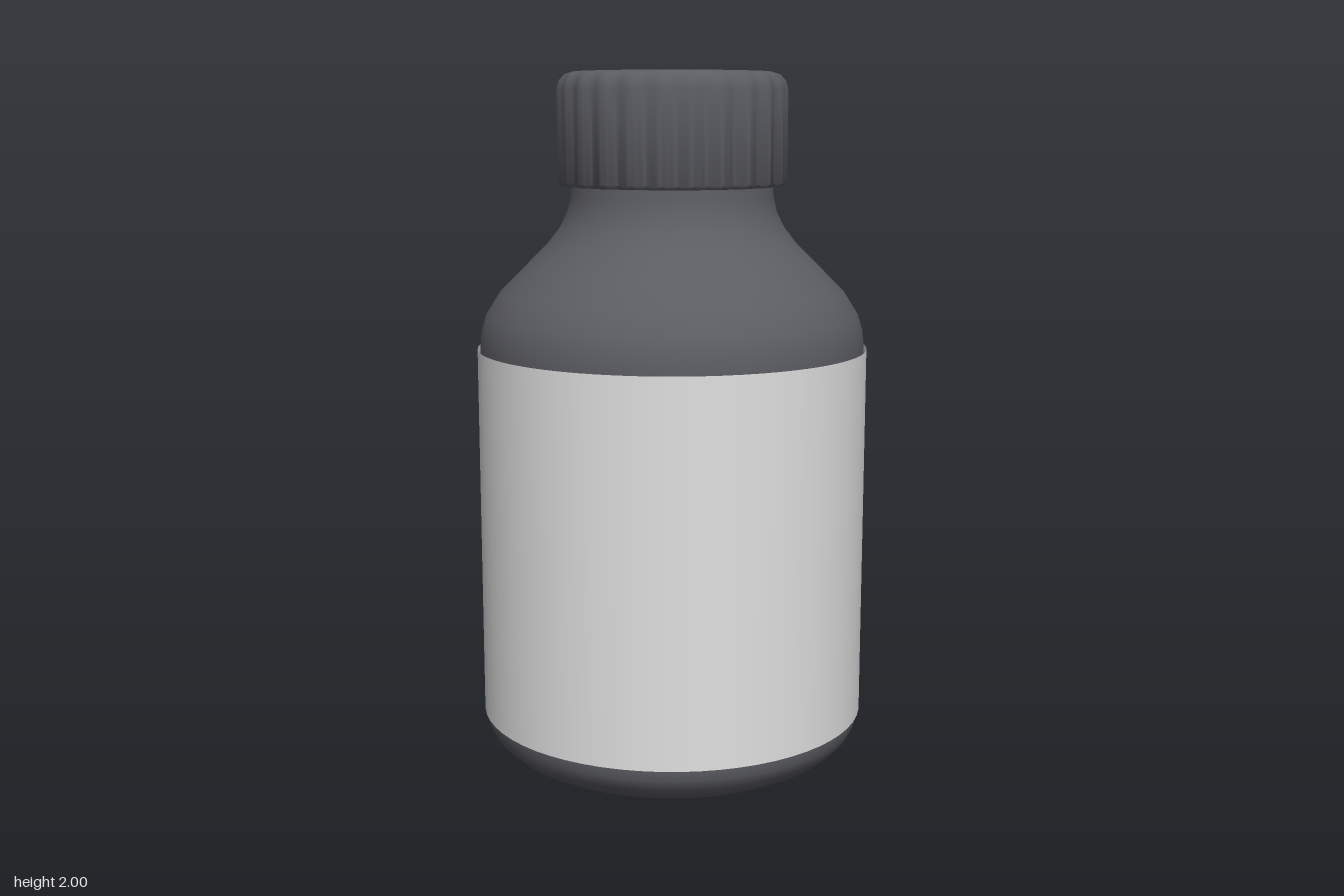
import * as THREE from 'three';
import { mergeVertices, toCreasedNormals } from 'three/addons/utils/BufferGeometryUtils.js';

const RIBS = 24;

// Revolve a list of [radius, height] points, from the bottom up
function revolve(points, segments) {
  return new THREE.LatheGeometry(points.map(([r, y]) => new THREE.Vector2(r, y)), segments);
}

// Weld the seam, then smooth everything except sharp edges
function smooth(geometry, crease) {
  geometry.deleteAttribute('normal');
  geometry.deleteAttribute('uv');
  return toCreasedNormals(mergeVertices(geometry, 1e-4), crease);
}

export function createModel() {
  const plastic = new THREE.MeshStandardMaterial({ color: 0x5c5d63 });
  plastic.name = 'dark grey plastic';
  const paper = new THREE.MeshStandardMaterial({ color: 0xe0e0e0, side: THREE.DoubleSide });
  paper.name = 'light grey paper';

  const model = new THREE.Group();
  model.name = 'bottle';
  const add = (name, geometry, material) => {
    const mesh = new THREE.Mesh(geometry, material);
    mesh.name = name;
    model.add(mesh);
    return mesh;
  };

  // Body: rounded base, straight wall, sloping shoulder and neck
  const body = revolve([
    [0, 0], [0.465, 0], [0.505, 0.022], [0.54, 0.055], [0.558, 0.09], [0.56, 0.12],
    [0.56, 1.22], [0.555, 1.265], [0.541, 1.31], [0.5, 1.375], [0.43, 1.445],
    [0.36, 1.515], [0.325, 1.56], [0.303, 1.605], [0.293, 1.65], [0.29, 1.72],
  ], 64);
  add('body', smooth(body, 0.7), plastic);

  // Label: thin open sleeve around the wall
  const label = new THREE.CylinderGeometry(0.568, 0.568, 1.09, 64, 1, true);
  add('label', label, paper).position.y = 0.667;

  // Cap: revolved shell whose side is pressed into ribs
  const cap = revolve([
    [0.28, 1.68], [0.318, 1.68], [0.327, 1.69], [0.327, 1.95],
    [0.32, 1.975], [0.307, 1.992], [0.285, 2], [0, 2],
  ], RIBS * 6);
  const p = cap.attributes.position;
  for (let i = 0; i < p.count; i++) {
    const x = p.getX(i), z = p.getZ(i), r = Math.hypot(x, z);
    if (r < 0.3) continue;
    const depth = 0.005 * Math.min(1, (r - 0.3) / 0.018);
    const k = 1 + depth * Math.cos(RIBS * Math.atan2(x, z)) / r;
    p.setX(i, x * k);
    p.setZ(i, z * k);
  }
  add('cap', smooth(cap, 0.75), plastic);

  return model;
}
